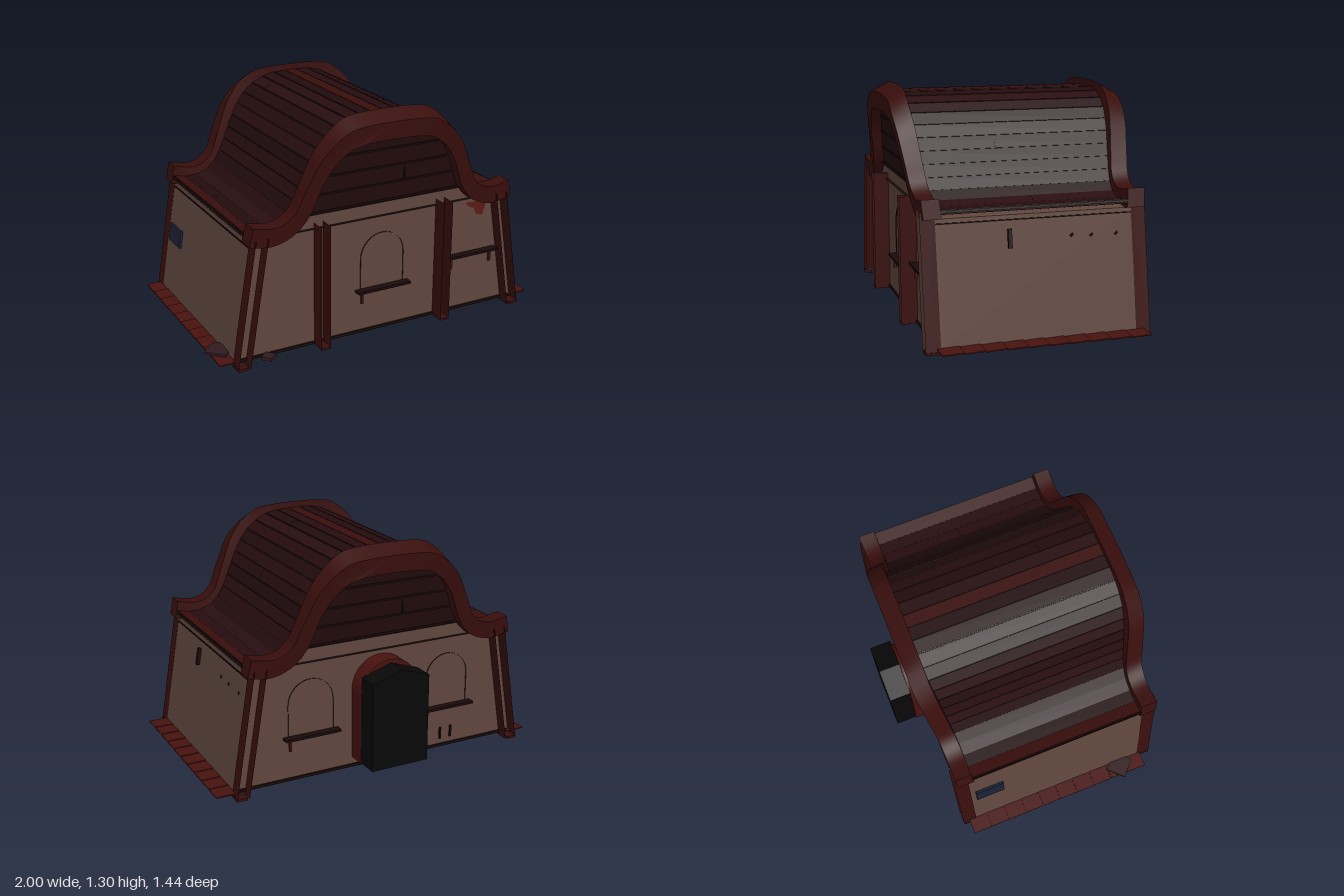
import * as THREE from 'three';
import { toCreasedNormals } from 'three/addons/utils/BufferGeometryUtils.js';

const mat = (color) => new THREE.MeshStandardMaterial({ color, side: THREE.DoubleSide });
const WALL = mat(0x5f463d), TRIM = mat(0x380e0c), DARK = mat(0x180a09), BLACK = mat(0x090707);
const TILE = mat(0x48120f), BLUE = mat(0x1b2133), DEBRIS = mat(0x301a1e), STAIN = mat(0x5a1a14);
const PLANKS = [mat(0x260c0e), mat(0x220b0d), mat(0x290e10)];

const ZC = 0.055; // middle of the building along z

function add(parent, name, geo, material, x = 0, y = 0, z = 0) {
  const m = new THREE.Mesh(geo, material);
  m.name = name;
  m.position.set(x, y, z);
  parent.add(m);
  return m;
}
const box = (parent, name, material, w, h, d, x, y, z) =>
  add(parent, name, new THREE.BoxGeometry(w, h, d), material, x, y, z);
// Thin upright fin and thin level ledge, both standing out from the wall
const fin = (parent, name, material, h, d, x, y, z) =>
  add(parent, name, new THREE.PlaneGeometry(d, h).rotateY(Math.PI / 2), material, x, y, z);
const ledge = (parent, name, material, w, d, x, y, z) =>
  add(parent, name, new THREE.PlaneGeometry(w, d).rotateX(-Math.PI / 2), material, x, y, z);

// Roof ends tip outward with height
const lean = (y) => 0.062 * THREE.MathUtils.clamp((y - 0.72) / 0.5, 0, 1);

// Right half of a bell profile (centre to eave) -> full smooth outline, left to right
function bell(half) {
  const pts = half.map(([x, y]) => new THREE.Vector2(x, y));
  const left = pts.map((p) => new THREE.Vector2(-p.x, p.y)).reverse();
  return new THREE.SplineCurve([...left, ...pts.slice(half[0][0] === 0 ? 1 : 0)]).getPoints(48);
}
const outer = bell([[0.17, 1.297], [0.3, 1.255], [0.42, 1.13], [0.5, 0.95], [0.56, 0.82], [0.66, 0.765], [0.79, 0.785]]);
const inner = bell([[0.17, 1.185], [0.3, 1.125], [0.39, 1.0], [0.46, 0.82], [0.55, 0.71], [0.68, 0.665], [0.812, 0.685]]);
const roofLine = bell([[0, 1.252], [0.16, 1.243], [0.29, 1.175], [0.38, 1.06], [0.445, 0.925], [0.51, 0.8], [0.585, 0.728], [0.7, 0.7], [0.8, 0.72]]);

const shapeOf = (pts) => new THREE.Shape(pts.map((q) => new THREE.Vector2(...q)));
const extrude = (shape, depth) =>
  new THREE.ExtrudeGeometry(shape, { depth, bevelEnabled: false, curveSegments: 14 });

function sill(parent, x, y, w, brackets) {
  box(parent, 'sill', DARK, w, 0.014, 0.05, x, y, 0.02);
  for (const dx of brackets) box(parent, 'sillBracket', TILE, 0.012, 0.07, 0.015, x + dx, y - 0.04, 0.015);
}

// Thin arched rim with a sill
function windowFrame(parent, x, z) {
  const g = new THREE.Group();
  g.name = 'window';
  g.position.set(x, 0, z);
  const arc = new THREE.CylinderGeometry(0.135, 0.135, 0.006, 16, 1, true, Math.PI / 2, Math.PI).rotateX(Math.PI / 2);
  add(g, 'windowArch', arc, DARK, 0, 0.465, 0.003);
  for (const s of [-1, 1]) fin(g, 'windowJamb', DARK, 0.185, 0.006, s * 0.135, 0.3725, 0.003);
  sill(g, 0, 0.28, 0.33, [-0.13]);
  parent.add(g);
}

// Parts shared by the front and back, facing +z
function gableEnd(name) {
  const g = new THREE.Group();
  g.name = name;

  // Curved roof trim, tipped outward, its top sloping down towards the outside
  const geo = extrude(new THREE.Shape([...outer, ...inner.slice().reverse()]), 0.095);
  const p = geo.attributes.position;
  for (let i = 0; i < p.count; i++) {
    const y = p.getY(i), t = p.getZ(i) / 0.095;
    p.setZ(i, p.getZ(i) + 0.505 + lean(y));
    p.setY(i, y - 0.05 * t * THREE.MathUtils.clamp((y - 0.9) / 0.4, 0, 1));
  }
  geo.computeVertexNormals();
  add(g, 'roofTrim', toCreasedNormals(geo, 0.6), TRIM);

  // Corner posts: pairs of open fins leaning with the side walls
  for (const s of [-1, 1]) {
    for (const dx of [0, -0.07])
      fin(g, 'cornerPostFin', TRIM, 0.72, 0.08, s * (0.836 + dx), 0.362, 0.575).rotation.z = s * 0.165;
    box(g, 'postFoot', TRIM, 0.06, 0.014, 0.08, s * 0.867, 0.012, 0.575);
  }

  // Plank joints of the gable
  for (const [y, w] of [[0.785, 0.94], [0.885, 0.84], [0.985, 0.76], [1.085, 0.64]])
    box(g, 'gableJoint', DARK, w, 0.01, 0.012, 0, y, 0.541 + lean(y));
  box(g, 'gableButtJoint', DARK, 0.008, 0.09, 0.012, 0.12, 0.935, 0.541 + lean(0.935));

  // Thin ledges across the wall
  ledge(g, 'upperLedge', DARK, 1.0, 0.02, 0, 0.78, 0.555);
  ledge(g, 'lowerLedge', DARK, 1.5, 0.02, 0, 0.7, 0.555);
  box(g, 'baseLedge', DARK, 1.74, 0.012, 0.01, 0, 0.036, 0.549);
  g.position.z = ZC;
  return g;
}

export function createModel() {
  const model = new THREE.Group();
  model.name = 'house';

  // Plastered walls, tapering upwards
  const half = [[0.888, 0.03], [0.778, 0.68], [0.58, 0.7], [0.5, 0.78]];
  const wall = shapeOf([...half, ...half.map(([x, y]) => [-x, y]).reverse()]);
  add(model, 'walls', extrude(wall, 1.09), WALL, 0, 0, ZC - 0.545);
  box(model, 'floor', BLACK, 1.78, 0.008, 1.1, 0, 0.028, ZC);

  // Boarded attic under the roof
  const attic = extrude(shapeOf(roofLine.filter((q) => q.y > 0.78).map((q) => [q.x * 0.99, q.y - 0.01])), 1);
  const ap = attic.attributes.position;
  for (let i = 0; i < ap.count; i++) ap.setZ(i, (ap.getZ(i) > 0.5 ? 1 : -1) * (0.54 + lean(ap.getY(i))));
  attic.computeVertexNormals();
  add(model, 'attic', attic, PLANKS[1], 0, 0, ZC);

  // Roof planks laid along the bell curve
  const roof = new THREE.Group();
  roof.name = 'roofPlanks';
  const cuts = new THREE.SplineCurve(roofLine).getSpacedPoints(29);
  for (let i = 0; i < 29; i++) {
    const a = cuts[i], b = cuts[i + 1];
    const len = a.distanceTo(b), y = (a.y + b.y) / 2, x = (a.x + b.x) / 2;
    const angle = Math.atan2(b.y - a.y, b.x - a.x);
    const long = 2 * (0.52 + lean(y));
    const ridge = i === 14 || i === 0 || i === 28;
    box(roof, 'plank', ridge ? TRIM : PLANKS[i % 3], len - 0.004, 0.024, long, x, y, 0).rotation.z = angle;
    box(roof, 'plankGap', DARK, len + 0.012, 0.014, long - 0.01, x, y, 0).rotation.z = angle;
    // Butt joint across some planks
    if (i % 5 === 1)
      box(roof, 'buttJoint', DARK, len, 0.025, 0.008, x, y, ((i * 37) % 11) / 11 * 0.8 - 0.4).rotation.z = angle;
  }
  roof.position.z = ZC;
  model.add(roof);

  // Both ends
  const front = gableEnd('frontEnd'), back = gableEnd('backEnd');
  back.rotation.y = Math.PI;
  model.add(front, back);

  // Front: two middle posts made of open fins, a window, a shelf and a stain
  for (const x of [-0.39, 0.37]) {
    for (const dx of [-0.027, 0.027]) fin(front, 'middlePostFin', TRIM, 0.71, 0.09, x + dx, 0.375, 0.59);
    box(front, 'middlePostFoot', TRIM, 0.055, 0.01, 0.09, x, 0.026, 0.59);
  }
  windowFrame(front, 0, 0.545);
  const shelf = new THREE.Group();
  shelf.name = 'shelf';
  shelf.position.z = 0.545;
  sill(shelf, 0.58, 0.365, 0.34, [-0.13, 0.135]);
  front.add(shelf);
  const stain = [[0.54, 0.67], [0.56, 0.65], [0.6, 0.63], [0.62, 0.59], [0.66, 0.58], [0.69, 0.67]];
  add(front, 'stain', new THREE.ShapeGeometry(shapeOf(stain)), STAIN, 0, 0, 0.548);

  // Back: two windows, arched doorway and dark door block
  for (const x of [-0.43, 0.43]) windowFrame(back, x, 0.545);
  for (const x of [0.4, 0.47]) box(back, 'peg', DARK, 0.01, 0.07, 0.012, x, 0.11, 0.55);
  const arch = new THREE.Shape();
  arch.moveTo(-0.177, 0.085);
  arch.lineTo(0.177, 0.085);
  arch.lineTo(0.177, 0.493);
  arch.absarc(0, 0.493, 0.177, 0, Math.PI, false);
  add(back, 'doorFrame', extrude(arch, 0.115), TILE, 0, 0, 0.54);
  const door = [[-0.175, 0.09], [0.172, 0.09], [0.172, 0.595], [0, 0.652], [-0.175, 0.595]];
  add(back, 'door', extrude(shapeOf(door), 0.125), BLACK, 0, 0, 0.652);

  // Sides: ground tiles and ledges under the eaves
  for (const s of [-1, 1]) {
    for (let i = 0; i < 10; i++)
      box(model, 'groundTile', TILE, 0.12, 0.006, 0.116, s < 0 ? -0.915 : 0.938, 0.035, -0.465 + i * 0.113).rotation.x = 0.04;
    box(model, 'eaveLedge', DARK, 0.012, 0.006, 1.07, s * 0.782, 0.655, ZC);
  }

  // Wall plates and chips
  box(model, 'bluePlate', BLUE, 0.02, 0.1, 0.17, -0.832, 0.39, -0.365).rotation.z = -0.165;
  box(model, 'sidePlate', DARK, 0.03, 0.1, 0.02, 0.802, 0.56, 0.2).rotation.z = 0.165;
  for (const [y, z] of [[0.555, -0.14], [0.55, -0.25], [0.55, -0.39]])
    box(model, 'wallChip', DARK, 0.012, 0.012, 0.022, 0.798, y, z).rotation.x = 0.7;

  // Loose boards on the ground
  box(model, 'looseBoard', DEBRIS, 0.12, 0.014, 0.12, -0.915, 0.046, 0.46).rotation.y = 0.785;
  box(model, 'looseBoard', DEBRIS, 0.06, 0.02, 0.06, -0.715, 0.045, 0.655).rotation.y = 0.7;
  return model;
}
